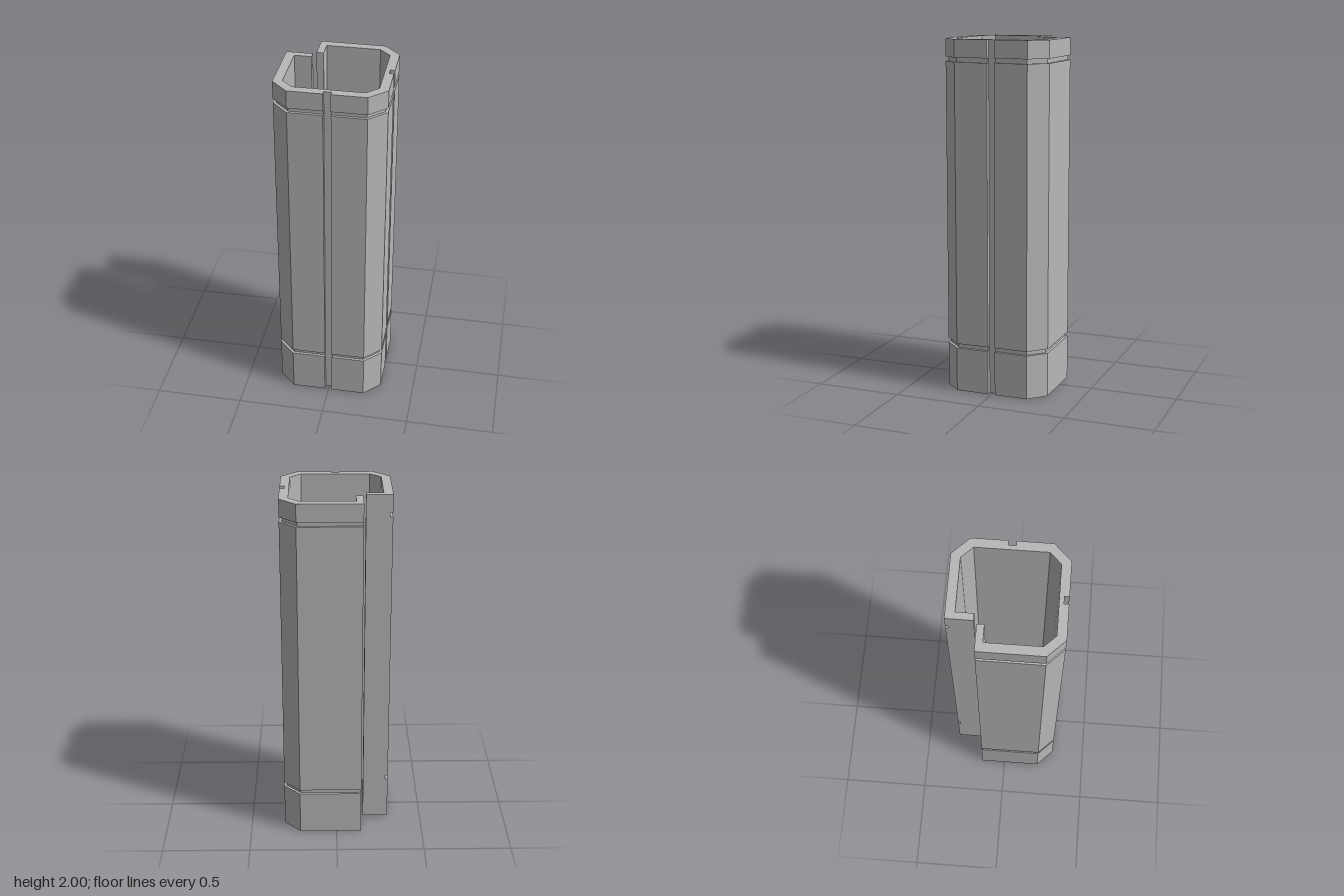
import * as THREE from 'three';

const HALF = 0.305;    // outer half width
const CHAMFER = 0.212; // where the flat sides meet the corner chamfers
const SLOT = 0.0205;   // half width of the vertical grooves
const SLOT_FLOOR = 0.279;

// Plan of the open column as [x, z]; inset shrinks only the outer skin
function plan(inset) {
  const r = HALF - inset;
  const c = CHAMFER - inset * 0.414;
  const outer = [
    [-r, -0.143], [-r, c], [-c, r],
    [-SLOT, r], [-SLOT, SLOT_FLOOR], [SLOT, SLOT_FLOOR], [SLOT, r],
    [c, r], [r, c],
    [r, SLOT], [SLOT_FLOOR, SLOT], [SLOT_FLOOR, -SLOT], [r, -SLOT],
    [r, -c], [c, -r], [-0.143, -r],
  ];
  const inner = [
    [-0.143, -0.159], [-0.104, -0.159], [-0.104, -0.254],
    [0.193, -0.254], [0.254, -0.193], [0.254, 0.193], [0.193, 0.254],
    [-0.193, 0.254], [-0.254, 0.193], [-0.254, -0.104],
    [-0.159, -0.104], [-0.159, -0.143],
  ];
  return new THREE.Shape([...outer, ...inner].map(([x, z]) => new THREE.Vector2(x, -z)));
}

export function createModel() {
  const group = new THREE.Group();
  group.name = 'columnCasing';
  const grey = new THREE.MeshStandardMaterial({ color: 0xb8b8b8 });
  grey.name = 'grey';

  // Stacked sections: base, shaft and cap separated by shallow grooves
  const sections = [
    ['base', 0, 0.253, 0],
    ['lowerGroove', 0.253, 0.278, 0.015],
    ['shaft', 0.278, 1.875, 0],
    ['upperGroove', 1.875, 1.9, 0.015],
    ['cap', 1.9, 2, 0],
  ];
  for (const [name, bottom, top, inset] of sections) {
    const geometry = new THREE.ExtrudeGeometry(plan(inset), { depth: top - bottom, bevelEnabled: false });
    geometry.rotateX(-Math.PI / 2);
    const mesh = new THREE.Mesh(geometry, grey);
    mesh.name = name;
    mesh.position.y = bottom;
    group.add(mesh);
  }
  return group;
}
